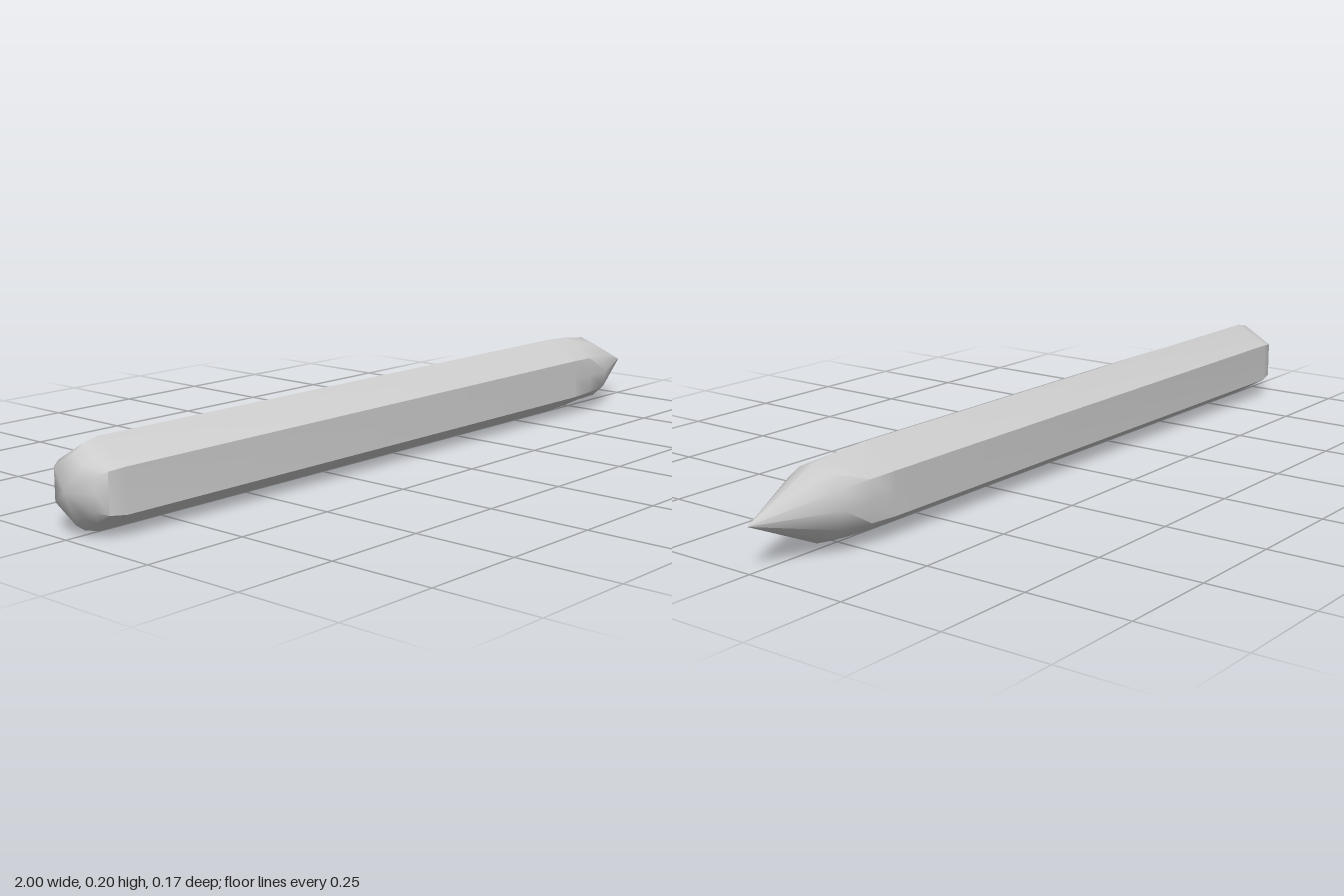
import * as THREE from 'three';
import { toCreasedNormals } from 'three/addons/utils/BufferGeometryUtils.js';

const SIDES = 12; // six corners alternating with the middles of six flats
const AXIS_Y = 0.1;

// Each station is [x, corner radius, mid-flat radius]; rings are skinned along x.
function loft(stations) {
  const pos = [];
  const point = ([x, corner, flat], j) => {
    const a = (j / SIDES) * Math.PI * 2;
    const r = j % 2 ? flat : corner;
    return [x, AXIS_Y + r * Math.cos(a), r * Math.sin(a)];
  };
  for (let i = 0; i < stations.length - 1; i++) {
    const [s, t] = [stations[i], stations[i + 1]];
    for (let j = 0; j < SIDES; j++) {
      const a = point(s, j), b = point(s, j + 1);
      const c = point(t, j + 1), d = point(t, j);
      if (s[1] > 0) pos.push(...a, ...b, ...c);
      if (t[1] > 0) pos.push(...a, ...c, ...d);
    }
  }
  const geo = new THREE.BufferGeometry();
  geo.setAttribute('position', new THREE.Float32BufferAttribute(pos, 3));
  return toCreasedNormals(geo, 0.9);
}

// A regular hexagon's flats lie at cos(30 deg) of its corner radius.
const hex = (x, r) => [x, r, r * Math.cos(Math.PI / 6)];

export function createModel() {
  const group = new THREE.Group();
  group.name = 'pencil';
  const material = new THREE.MeshStandardMaterial({ color: 0xcccccc });
  const add = (name, stations) => {
    const mesh = new THREE.Mesh(loft(stations), material);
    mesh.name = name;
    group.add(mesh);
  };

  // Hexagonal barrel with a domed blunt end
  add('barrel', [
    [-1, 0, 0],
    hex(-0.973, 0.075),
    hex(-0.95, 0.091),
    hex(-0.91, 0.1),
    hex(0.66, 0.1),
  ]);

  // Sharpened end: the hexagon eases into a round section, then a cone
  add('sharpenedTip', [
    hex(0.66, 0.1),
    [0.73, 0.096, 0.0862],
    [0.81, 0.087, 0.084],
    [1, 0, 0],
  ]);

  return group;
}
